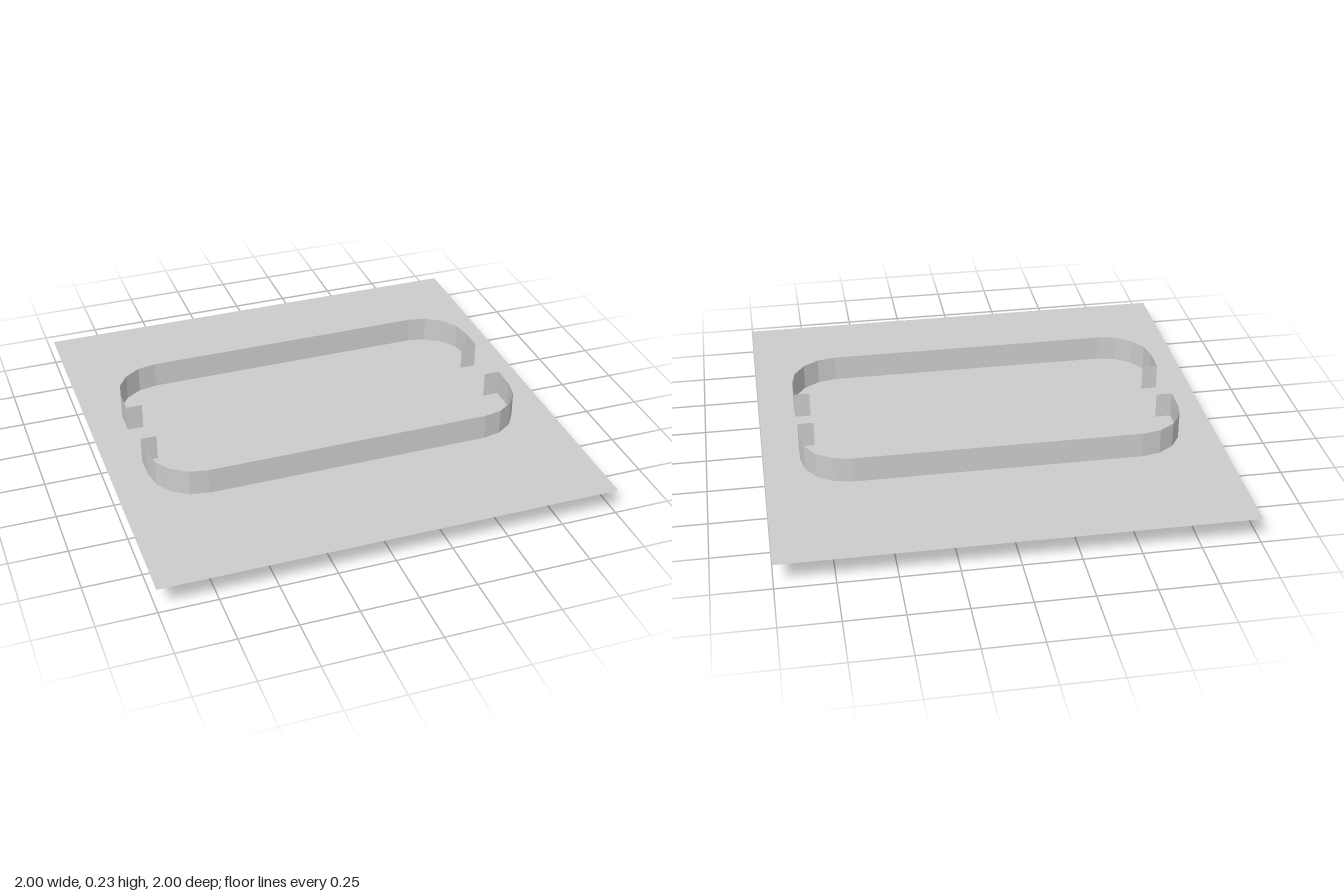
import * as THREE from 'three';

const HEIGHT = 0.23, HALF_X = 0.84, HALF_Z = 0.45;
const GAP = 0.13, RADIUS = 0.21, TAB = 0.07, STEPS = 4;

// Plan outline of one half of the fence: tab, side, rounded corner, long wall, mirrored
function fenceOutline() {
  const half = [[HALF_X - TAB, GAP], [HALF_X, GAP]];
  for (let i = 0; i <= STEPS; i++) {
    const a = (i / STEPS) * Math.PI / 2;
    half.push([HALF_X - RADIUS + RADIUS * Math.cos(a), HALF_Z - RADIUS + RADIUS * Math.sin(a)]);
  }
  return [...half, ...half.map(([x, z]) => [-x, z]).reverse()];
}

// Thin upright wall following an open outline
function ribbon(points, height) {
  const pos = [], index = [];
  points.forEach(([x, z], i) => {
    pos.push(x, 0, z, x, height, z);
    if (i > 0) {
      const a = 2 * (i - 1);
      index.push(a, a + 1, a + 2, a + 2, a + 1, a + 3);
    }
  });
  const indexed = new THREE.BufferGeometry();
  indexed.setAttribute('position', new THREE.Float32BufferAttribute(pos, 3));
  indexed.setIndex(index);
  const geometry = indexed.toNonIndexed();
  geometry.computeVertexNormals();
  return geometry;
}

export function createModel() {
  const group = new THREE.Group();
  const material = new THREE.MeshStandardMaterial({
    color: 0xcccccc, flatShading: true, side: THREE.DoubleSide,
  });

  // Square sheet cutting the walls at half their height
  const sheet = new THREE.Mesh(new THREE.PlaneGeometry(2, 2).rotateX(-Math.PI / 2), material);
  sheet.name = 'groundSheet';
  sheet.position.y = HEIGHT / 2;
  group.add(sheet);

  // Two facing wall halves with a gap at each end
  const wall = ribbon(fenceOutline(), HEIGHT);
  ['frontWall', 'backWall'].forEach((name, i) => {
    const mesh = new THREE.Mesh(wall, material);
    mesh.name = name;
    mesh.rotation.y = i * Math.PI;
    group.add(mesh);
  });
  return group;
}
